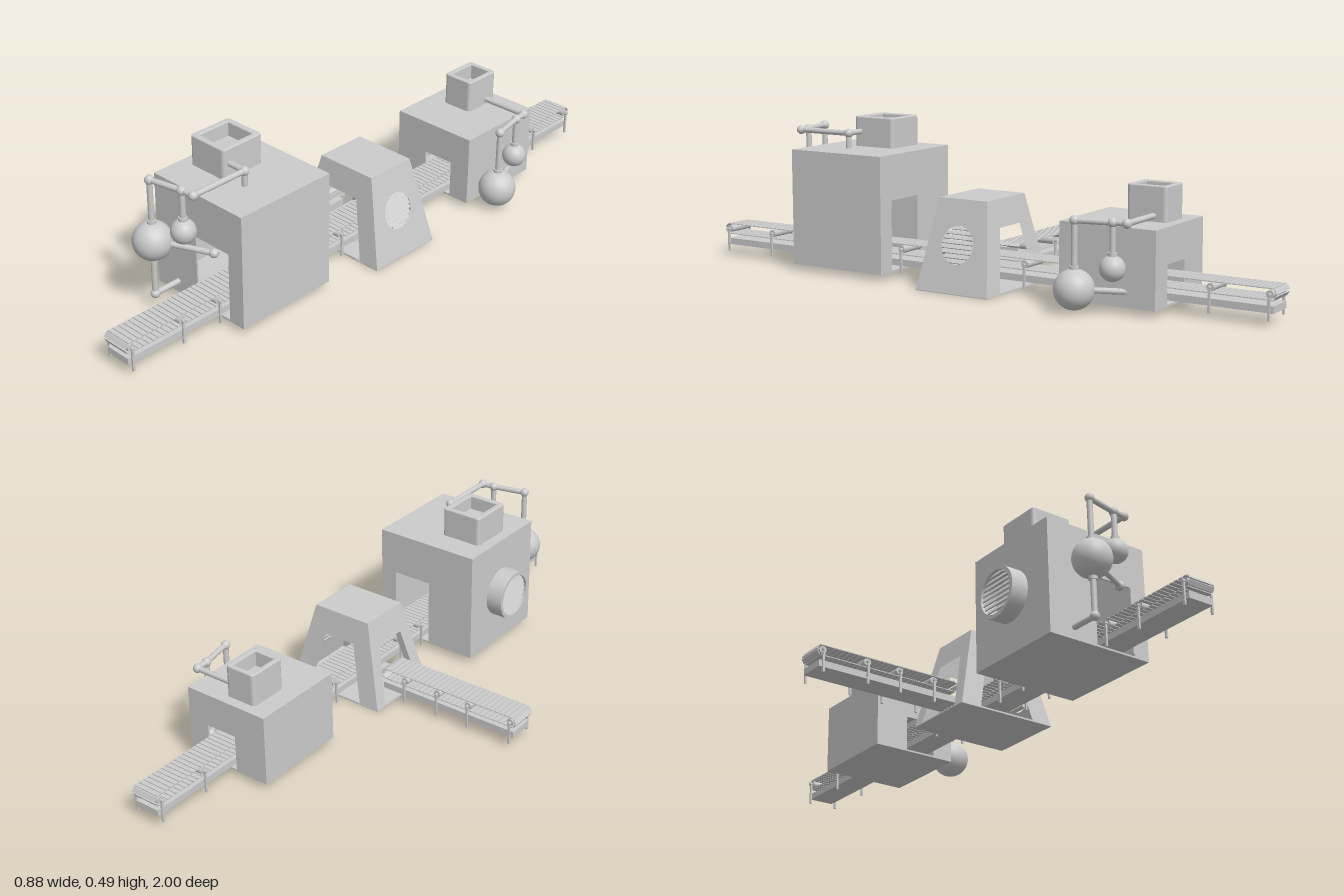
import * as THREE from 'three';
import { mergeGeometries } from 'three/addons/utils/BufferGeometryUtils.js';

const grey = new THREE.MeshStandardMaterial({ color: 0xcccccc, side: THREE.DoubleSide });
const V = (x, y, z) => new THREE.Vector3(x, y, z);

function add(parent, name, geometry, x = 0, y = 0, z = 0) {
  const mesh = new THREE.Mesh(geometry, grey);
  mesh.name = name;
  mesh.position.set(x, y, z);
  parent.add(mesh);
  return mesh;
}

function group(parent, name) {
  const g = new THREE.Group();
  g.name = name;
  parent.add(g);
  return g;
}

const poly = (pts) => new THREE.Shape(pts.map(([x, y]) => new THREE.Vector2(x, y)));
const rect = (x0, y0, x1, y1) => poly([[x0, y0], [x1, y0], [x1, y1], [x0, y1]]);

function roundRect(w, d, r) {
  const s = new THREE.Shape(), x = w / 2 - r, y = d / 2 - r;
  s.absarc(x, y, r, 0, Math.PI / 2);
  s.absarc(-x, y, r, Math.PI / 2, Math.PI);
  s.absarc(-x, -y, r, Math.PI, Math.PI * 1.5);
  s.absarc(x, -y, r, Math.PI * 1.5, Math.PI * 2);
  return s;
}

// Hollow housing with a conveyor doorway in its front and back walls
function housing(parent, name, [x0, x1], [y0, y1], [z0, z1], [doorX0, doorX1, doorTop]) {
  const g = group(parent, name), t = 0.006;
  const tube = rect(x0, y0, x1, y1);
  tube.holes.push(rect(x0 + t, y0 + t, x1 - t, y1 - t));
  add(g, 'shell', new THREE.ExtrudeGeometry(tube, { depth: z1 - z0, bevelEnabled: false }), 0, 0, z0);
  const wall = rect(x0, y0, x1, y1);
  wall.holes.push(rect(doorX0, y0 + 0.002, doorX1, doorTop));
  for (const z of [z0, z1 - t])
    add(g, 'doorWall', new THREE.ExtrudeGeometry(wall, { depth: t, bevelEnabled: false }), 0, 0, z);
  return g;
}

// Open-topped feed hopper with rounded corners
function hopper(parent, x, y, z, w, h, d, wall) {
  const g = group(parent, 'hopper'), b = 0.004;
  const ring = roundRect(w - 2 * b, d - 2 * b, 0.008);
  ring.holes.push(roundRect(w - 2 * wall, d - 2 * wall, 0.006));
  const geo = new THREE.ExtrudeGeometry(ring, {
    depth: h - b, bevelEnabled: true, bevelSize: b, bevelThickness: b, bevelSegments: 3, curveSegments: 5,
  });
  add(g, 'hopperWalls', geo.rotateX(-Math.PI / 2), x, y, z);
  add(g, 'hopperFloor', new THREE.BoxGeometry(w - wall, 0.004, d - wall), x, y + h * 0.5, z);
}

// Slat conveyor along local z
function conveyor(parent, name, z0, z1, legs) {
  const g = group(parent, name), r = 0.0165, cy = 0.0905, a = z0 + r + 0.002, b = z1 - r - 0.002;
  const len = b - a, arc = Math.PI * r, total = 2 * (len + arc);
  const count = Math.round(total / 0.018), pitch = total / count;
  const slats = [];
  for (let i = 0; i < count; i++) {
    let s = i * pitch, z, y, turn = 0;
    if (s < len) { z = a + s; y = cy + r; }
    else if (s < len + arc) {
      turn = (s - len) / r;
      z = b + r * Math.sin(turn); y = cy + r * Math.cos(turn);
    } else if (s < 2 * len + arc) { z = b - (s - len - arc); y = cy - r; }
    else {
      turn = Math.PI + (s - 2 * len - arc) / r;
      z = a + r * Math.sin(turn); y = cy + r * Math.cos(turn);
    }
    slats.push(new THREE.BoxGeometry(0.09, 0.003, pitch * 0.84).rotateX(turn).translate(0, y, z));
  }
  add(g, 'beltSlats', mergeGeometries(slats));
  add(g, 'frameBeam', new THREE.BoxGeometry(0.087, 0.021, len + 0.02), 0, 0.0475, (a + b) / 2);
  for (const z of legs) {
    add(g, 'roller', new THREE.CylinderGeometry(0.012, 0.012, 0.092, 16).rotateZ(Math.PI / 2), 0, cy, z);
    add(g, 'axle', new THREE.CylinderGeometry(0.005, 0.005, 0.114, 10).rotateZ(Math.PI / 2), 0, cy, z);
    for (const side of [-1, 1])
      add(g, 'leg', new THREE.BoxGeometry(0.006, 0.078, 0.007), side * 0.051, 0.056, z);
  }
  return g;
}

// Horizontal louvre slats filling a circle that faces x
function louvres(parent, radius, n) {
  for (let i = 0; i < n; i++) {
    const y = (i + 0.5) / n * 2 * radius - radius;
    const w = 2 * Math.sqrt(radius * radius - y * y);
    const slat = add(parent, 'louvre', new THREE.BoxGeometry(0.004, radius * 1.7 / n, w), 0, y, 0);
    slat.rotation.z = 0.5;
  }
}

// Tapered sorting tower with three archways and a round vent
function tower(parent) {
  const g = group(parent, 'taperedTower'), H = 0.28, cx = 0.196, cz = -0.008;
  const base = { x: 0.173, z: 0.129 }, top = { x: 0.104, z: 0.086 };
  const wall = (axis, s, hole, name) => {
    const across = axis === 'z' ? 'x' : 'z', w = base[across], v = top[across];
    const shape = poly([[-w, 0], [w, 0], [v, H], [-v, H]]);
    shape.holes.push(hole);
    const geo = new THREE.ShapeGeometry(shape, 24), p = geo.attributes.position;
    for (let i = 0; i < p.count; i++) {
      const u = p.getX(i), y = p.getY(i), out = s * THREE.MathUtils.lerp(base[axis], top[axis], y / H);
      if (axis === 'z') p.setXYZ(i, cx + u, y, cz + out);
      else p.setXYZ(i, cx + out, y, cz + u);
    }
    geo.computeVertexNormals();
    add(g, name, geo);
  };
  const arch = (half, tip) => poly([[-half, 0.006], [half, 0.006], [tip, 0.195], [-tip, 0.195]]);
  wall('z', 1, arch(0.1, 0.055), 'frontArchWall');
  wall('z', -1, arch(0.1, 0.055), 'backArchWall');
  wall('x', -1, arch(0.088, 0.055), 'sideArchWall');
  const round = new THREE.Path();
  round.absarc(0, 0.145, 0.057, 0, Math.PI * 2);
  wall('x', 1, round, 'ventWall');
  add(g, 'towerRoof', new THREE.BoxGeometry(2 * top.x, 0.003, 2 * top.z), cx, H - 0.0015, cz);
  add(g, 'towerFloor', new THREE.BoxGeometry(2 * base.x, 0.003, 2 * base.z), cx, 0.0015, cz);
  const vent = group(g, 'towerVent');
  vent.position.set(0.328, 0.145, cz);
  vent.rotation.z = Math.atan((base.x - top.x) / H);
  louvres(vent, 0.058, 8);
}

// Pressure tanks with their pipework
function pipework(parent, full) {
  const g = group(parent, 'tankPipework');
  const pipe = (a, b, r = 0.009, name = 'pipe') => {
    const d = b.clone().sub(a), m = a.clone().add(b).multiplyScalar(0.5);
    const mesh = add(g, name, new THREE.CylinderGeometry(r, r, d.length(), 16), m.x, m.y, m.z);
    mesh.quaternion.setFromUnitVectors(V(0, 1, 0), d.normalize());
  };
  const ball = (p, r, name) => add(g, name, new THREE.SphereGeometry(r, 32, 20), p.x, p.y, p.z);
  const Y = 0.438, A = V(0.046, 0.239, 0.725), B = V(0.157, 0.307, 0.702);
  const topA = V(A.x, Y, A.z), topB = V(B.x, Y, B.z), corner = V(0.2, Y, 0.698), end = V(0.2, Y, 0.503);
  const inlet = V(0.218, 0.235, 0.645);
  ball(A, 0.06, 'largeTank');
  ball(B, 0.038, 'smallTank');
  for (const p of [topA, topB, corner, end, inlet]) ball(p, 0.0145, 'elbow');
  pipe(A, topA);
  pipe(B, topB);
  pipe(topA, topB);
  pipe(topB, corner);
  pipe(corner, end);
  pipe(end, V(end.x, 0.385, end.z));
  pipe(A, inlet);
  pipe(inlet, V(inlet.x, inlet.y, 0.63));
  for (const [c, r] of [[A, 0.06], [B, 0.038]])
    pipe(V(c.x, c.y + r - 0.004, c.z), V(c.x, c.y + r + 0.008, c.z), 0.0135, 'collar');
  if (full) {
    const low = V(A.x, 0.058, A.z);
    ball(low, 0.0145, 'elbow');
    pipe(A, low);
    pipe(low, V(low.x, low.y, 0.632));
    pipe(V(A.x, A.y - 0.068, A.z), V(A.x, A.y - 0.056, A.z), 0.0135, 'collar');
    pipe(end, V(0.13, Y, end.z));
  }
  return g;
}

export function createModel() {
  const model = new THREE.Group();
  model.name = 'processingLine';

  const large = housing(model, 'largeHousing', [-0.042, 0.324], [0.02, 0.39], [0.285, 0.635], [0.13, 0.267, 0.247]);
  hopper(large, 0.067, 0.39, 0.45, 0.143, 0.097, 0.152, 0.016);
  pipework(large, true);

  // Round side vent of the large housing
  const vent = group(large, 'sideVent');
  vent.position.set(-0.042, 0.202, 0.457);
  const profile = [[0.07, 0], [0.07, 0.057], [0.082, 0.057], [0.082, 0], [0.07, 0]];
  const rim = profile.slice(0, -1).map((p, i) => new THREE.LatheGeometry(
    [new THREE.Vector2(...p), new THREE.Vector2(...profile[i + 1])], 40));
  add(vent, 'ventRim', mergeGeometries(rim).rotateZ(Math.PI / 2));
  const slats = group(vent, 'ventLouvres');
  slats.position.x = -0.046;
  slats.rotation.y = Math.PI;
  louvres(slats, 0.072, 9);

  const small = housing(model, 'smallHousing', [0.026, 0.322], [0.02, 0.25], [-0.67, -0.357], [0.143, 0.25, 0.142]);
  hopper(small, 0.142, 0.25, -0.572, 0.107, 0.105, 0.13, 0.013);
  const pipes = pipework(small, false);
  pipes.rotation.y = Math.PI / 2;
  pipes.position.set(-0.347, -0.171, -0.394);

  tower(model);

  const main = conveyor(model, 'mainConveyor', -1, 1, [0.98, 0.795, 0.655, 0.265, 0.15, -0.19, -0.8, -0.98]);
  main.position.x = 0.197;
  const side = conveyor(model, 'sideConveyor', -0.443, 0.07, [-0.424, -0.267, -0.15, -0.024]);
  side.rotation.y = Math.PI / 2;
  side.position.z = -0.009;

  return model;
}
